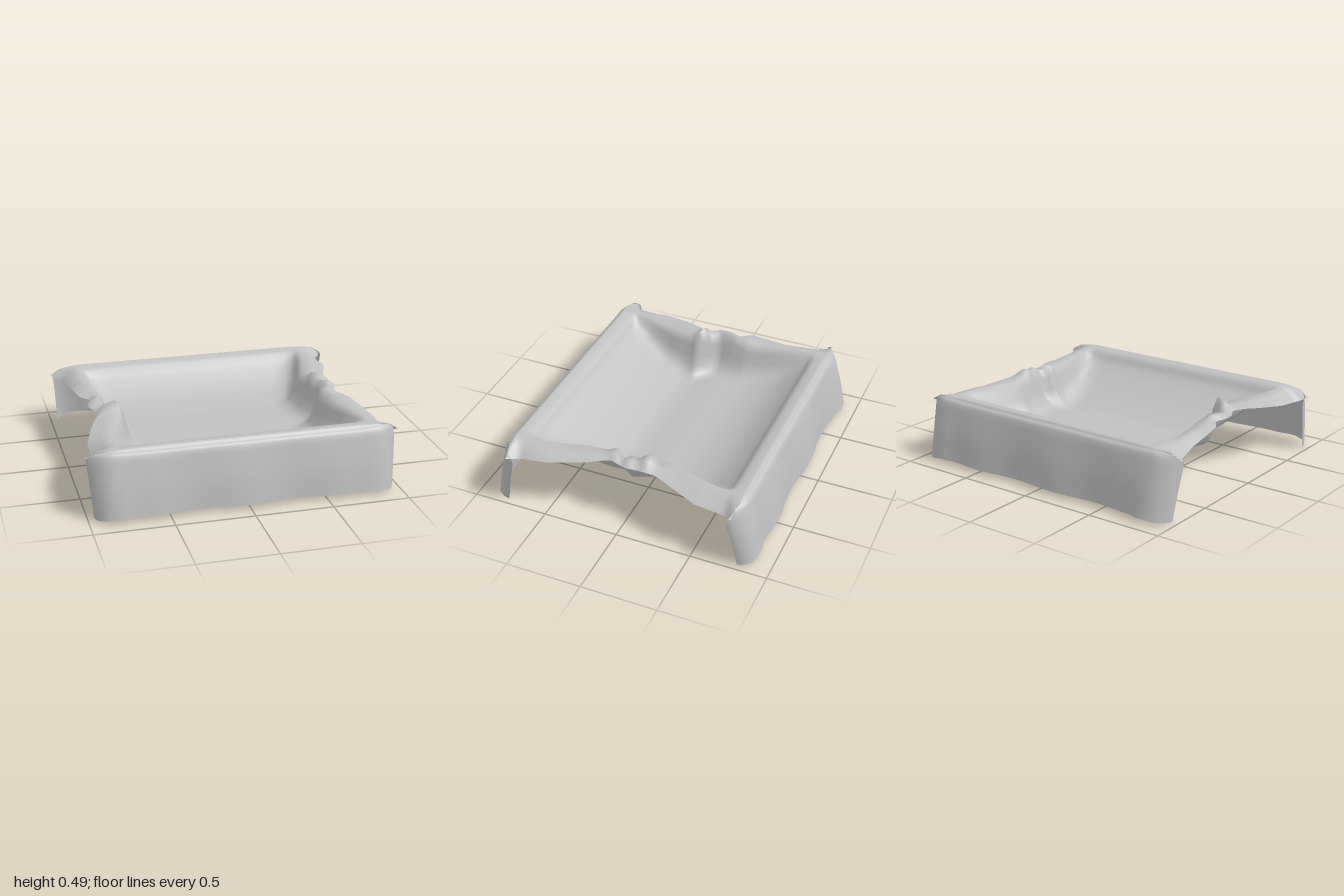
import * as THREE from 'three';

// piecewise-linear lookup in a list of [position, value]
function look(table, t) {
  if (t <= table[0][0]) return table[0][1];
  for (let i = 1; i < table.length; i++) {
    const [a, p] = table[i - 1], [b, q] = table[i];
    if (t <= b) return p + (q - p) * (t - a) / (b - a);
  }
  return table[table.length - 1][1];
}
const lerp = THREE.MathUtils.lerp;

// outline of each side by z: inner lip, outer edge, lip height
const left = {
  inner: [[-0.75, 0.8], [-0.5, 0.77], [-0.2, 0.72], [0, 0.75], [0.07, 0.7], [0.13, 0.64], [0.3, 0.68], [0.55, 0.76], [0.75, 0.8]],
  outer: [[-0.76, 1], [-0.7, 0.94], [-0.5, 0.9], [-0.2, 0.88], [-0.12, 0.82], [-0.05, 0.85], [0.02, 0.85], [0.12, 0.8], [0.3, 0.88], [0.5, 0.94], [0.7, 0.94], [0.75, 1]],
  lip: [[-0.7, 0.44], [-0.3, 0.43], [-0.16, 0.44], [-0.1, 0.46], [-0.03, 0.45], [0.05, 0.43], [0.11, 0.5], [0.17, 0.44], [0.4, 0.43], [0.7, 0.44]],
};
const right = {
  inner: [[-0.75, 0.8], [-0.5, 0.74], [-0.25, 0.66], [-0.05, 0.7], [0.03, 0.73], [0.1, 0.68], [0.3, 0.7], [0.6, 0.78], [0.75, 0.8]],
  outer: [[-0.76, 1], [-0.7, 0.94], [-0.5, 0.94], [-0.2, 0.83], [-0.08, 0.83], [0, 0.84], [0.12, 0.8], [0.25, 0.87], [0.5, 0.93], [0.7, 0.94], [0.75, 1]],
  lip: [[-0.7, 0.44], [-0.3, 0.43], [-0.17, 0.44], [-0.11, 0.485], [-0.05, 0.44], [0, 0.46], [0.06, 0.42], [0.11, 0.46], [0.17, 0.43], [0.4, 0.43], [0.7, 0.44]],
};
const edgeHeight = [[0, 0.425], [0.2, 0.42], [0.5, 0.38], [0.7, 0.355], [0.75, 0.38]];

// columns across one side, from the floor to the outer edge
const wallOffset = [-0.14, -0.09, -0.05, -0.02, 0, 0.03];
const wallRise = [0, 0.07, 0.2, 0.45, 0.75, 1, 1, 1];
const flapX = [0.64, 0.72, 0.78, 0.84, 0.88, 0.925, 0.95, 0.955];
const flapTurn = [0, 0, 0, 0, 0.005, 0.025, 0.07, 0.11];
const SIDE = 7, MIDDLE = 24, ROWS = 160;

// front-to-back section: x holds how far the row belongs to a hanging flap
const half = [[1, 0.035, 0.885], [1, 0.2, 0.86], [1, 0.34, 0.83], [0.85, 0.395, 0.815], [0.45, 0.425, 0.79], [0, 0.44, 0.74], [0, 0.425, 0.69], [0, 0.37, 0.645]];
const floor = [[0, 0.26, -0.48], [0, 0.205, -0.3], [0, 0.185, -0.05], [0, 0.172, 0.15], [0, 0.2, 0.27], [0, 0.265, 0.45]];
const section = new THREE.CatmullRomCurve3([
  ...half.map(([w, y, z]) => new THREE.Vector3(w, y, -z)),
  ...floor.map((p) => new THREE.Vector3(...p)),
  ...half.slice().reverse().map((p) => new THREE.Vector3(...p)),
]);

// position of column j (0 innermost) on one side of a row
function sidePoint(row, j, sign) {
  const s = sign < 0 ? left : right;
  const w = THREE.MathUtils.clamp(row.x, 0, 1);
  const { y, z } = row, end = Math.sign(z);
  const inner = look(s.inner, z), outer = look(s.outer, z);
  const lip = Math.max(look(s.lip, z), Math.min(y, 0.44));
  const edge = look(edgeHeight, Math.abs(z));
  let x = j < 6 ? inner + wallOffset[j] : lerp(inner + 0.03, outer, j === 6 ? 0.5 : 1);
  let h = lerp(y, lip, wallRise[j]);
  if (j === 6) h = lerp(lip, edge, 0.2);
  if (j === 7) h = edge;
  // hanging corner: turns round towards the middle, its tip a little lower
  const fx = flapX[j] + (j > 5 ? 0.03 * y / 0.4 : 0);
  const fy = y - 0.025 * Math.max(0, j - 3) / 4;
  const flare = 0.02 * (1 - y / 0.4) * (j > 1 ? 1 : 0);
  return new THREE.Vector3(sign * lerp(x, fx, w), lerp(h, fy, w), z - end * w * (flapTurn[j] - flare));
}

export function createModel() {
  const cloth = new THREE.MeshStandardMaterial({ color: 0xc0c0c0, side: THREE.DoubleSide });
  cloth.name = 'grey cloth';

  // one draped sheet: sagging middle, raised rims, flaps front and back
  const columns = MIDDLE + 2 * SIDE;
  const geometry = new THREE.PlaneGeometry(2, 2, columns, ROWS);
  const pos = geometry.attributes.position;
  for (let r = 0; r <= ROWS; r++) {
    const row = section.getPointAt(r / ROWS);
    const a = sidePoint(row, 0, -1), b = sidePoint(row, 0, 1);
    const hang = Math.max(0, 1 - row.y / 0.42) * THREE.MathUtils.clamp(row.x, 0, 1);
    for (let c = 0; c <= columns; c++) {
      let p;
      if (c < SIDE) p = sidePoint(row, SIDE - c, -1);
      else if (c > SIDE + MIDDLE) p = sidePoint(row, c - SIDE - MIDDLE, 1);
      else p = a.clone().lerp(b, (c - SIDE) / MIDDLE);
      // gentle waves in the flaps
      p.z += Math.sign(row.z) * hang * 0.013 * Math.cos(p.x * 10 + (row.z < 0 ? 1.3 : 0));
      pos.setXYZ(r * (columns + 1) + c, p.x, p.y, p.z);
    }
  }
  geometry.computeVertexNormals();
  geometry.computeBoundingBox();
  geometry.translate(0, -geometry.boundingBox.min.y, 0);

  const sheet = new THREE.Mesh(geometry, cloth);
  sheet.name = 'drapedSheet';
  const group = new THREE.Group();
  group.name = 'drapedCloth';
  group.add(sheet);
  return group;
}
